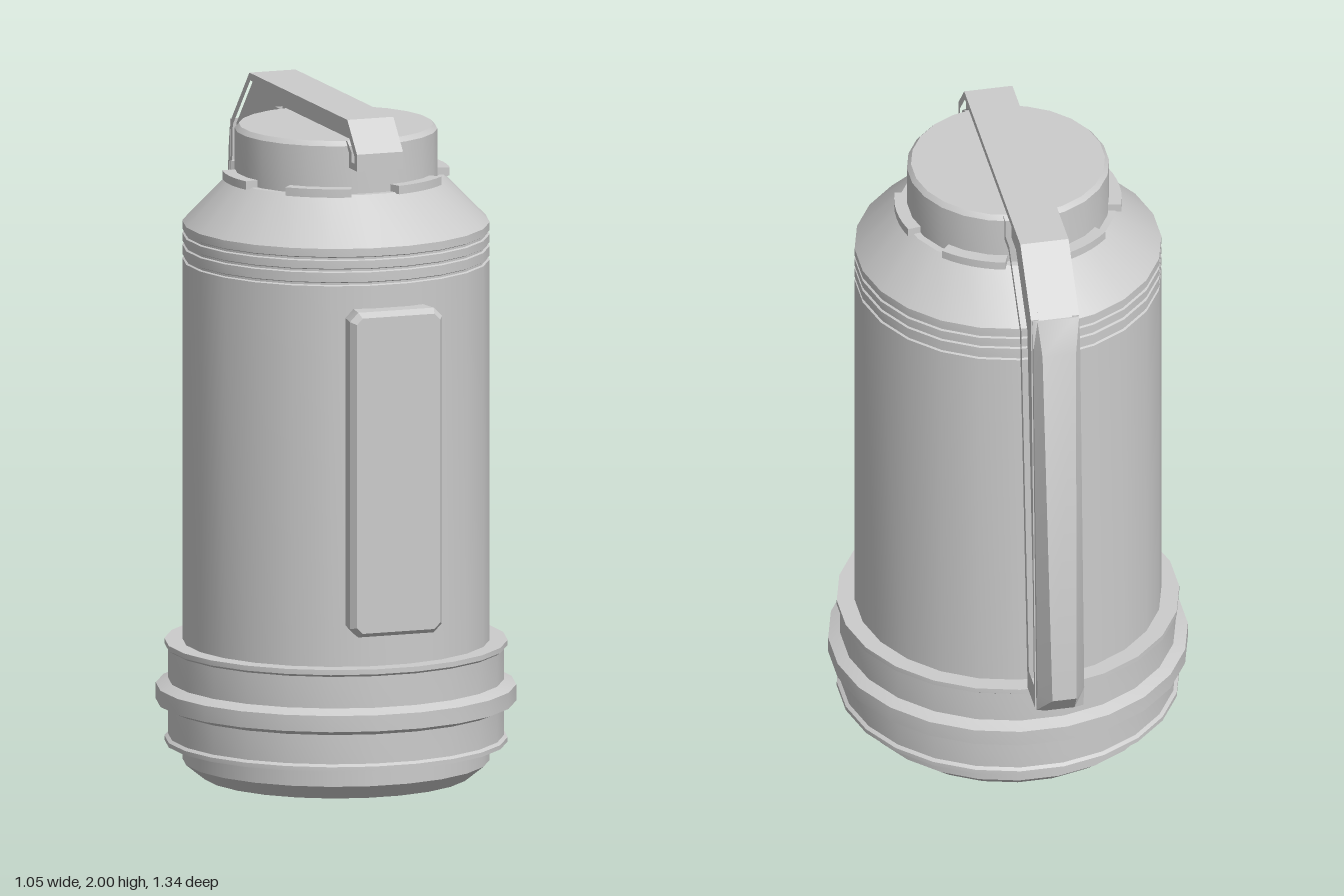
import * as THREE from 'three';
import { toCreasedNormals } from 'three/addons/utils/BufferGeometryUtils.js';

const AXIS_Z = 0.146; // the body stands forward of the handle
const SIDES = 24;
const material = new THREE.MeshStandardMaterial({ color: 0xcccccc });

function part(name, geometry, parent) {
  const mesh = new THREE.Mesh(toCreasedNormals(geometry, 0.45), material);
  mesh.name = name;
  parent.add(mesh);
}

// Turned solid; radii are measured to the flats of the polygon
function turned(points) {
  const k = 1 / Math.cos(Math.PI / SIDES);
  const profile = points.map(([r, y]) => new THREE.Vector2(r * k, y));
  return new THREE.LatheGeometry(profile, SIDES, Math.PI / SIDES);
}

const toPoints = (list) => list.map(([a, b]) => new THREE.Vector2(a, b));

// Side outline given as (z, y), extruded symmetrically along x
function sideExtrude(outline, halfWidth, hole) {
  const shape = new THREE.Shape(toPoints(outline));
  if (hole) shape.holes.push(new THREE.Path(toPoints(hole)));
  const geo = new THREE.ExtrudeGeometry(shape, { depth: halfWidth * 2, bevelEnabled: false });
  return geo.translate(0, 0, -halfWidth).rotateY(-Math.PI / 2);
}

// Closed solid through equal-sized loops, listed top to bottom, counter-clockwise from above
function loft(loops) {
  const n = loops[0].length;
  const index = [];
  for (let s = 0; s < loops.length - 1; s++) {
    for (let i = 0; i < n; i++) {
      const a = s * n + i, b = s * n + (i + 1) % n;
      index.push(a, a + n, b, b, a + n, b + n);
    }
  }
  const last = (loops.length - 1) * n;
  for (let i = 1; i < n - 1; i++) {
    index.push(0, i, i + 1, last, last + i + 1, last + i);
  }
  const geo = new THREE.BufferGeometry();
  geo.setAttribute('position', new THREE.Float32BufferAttribute(loops.flat(2), 3));
  geo.setIndex(index);
  return geo;
}

export function createModel() {
  const model = new THREE.Group();
  model.name = 'canister';

  const body = new THREE.Group();
  body.name = 'body';
  body.position.z = AXIS_Z;
  model.add(body);

  // Main shell with fine grooves below the sloped shoulder
  const grooves = [1.54, 1.58, 1.615].flatMap((y) => [
    [0.446, y - 0.006], [0.44, y - 0.003], [0.44, y + 0.003], [0.446, y + 0.006],
  ]);
  part('shell', turned([
    [0, 0], [0.39, 0], [0.446, 0.045], ...grooves,
    [0.446, 1.645], [0.315, 1.78], [0.28, 1.78],
  ]), body);

  // Collar round the base with lips and a bulging middle band
  part('baseCollar', turned([
    [0.43, 0.1], [0.498, 0.1], [0.498, 0.113], [0.488, 0.12], [0.488, 0.207],
    [0.523, 0.222], [0.523, 0.27], [0.488, 0.286], [0.488, 0.38],
    [0.498, 0.387], [0.498, 0.402], [0.43, 0.402],
  ]), body);

  // Cap
  part('cap', turned([[0.294, 1.76], [0.294, 1.922], [0.282, 1.936], [0, 1.936]]), body);

  // Six locking lugs around the neck, with slanted ends
  const inner = THREE.MathUtils.degToRad(18.5);
  const outer = THREE.MathUtils.degToRad(17);
  const lugShape = new THREE.Shape();
  lugShape.absarc(0, 0, 0.333, -outer, outer, false);
  lugShape.absarc(0, 0, 0.28, inner, -inner, true);
  for (let i = 0; i < 6; i++) {
    const geo = new THREE.ExtrudeGeometry(lugShape, { depth: 0.025, bevelEnabled: false, curveSegments: 3 });
    geo.rotateX(-Math.PI / 2).translate(0, 1.776, 0).rotateY(i * Math.PI / 3);
    part('neckLug', geo, body);
  }

  // Front plate with clipped corners and a bevelled face, narrowing towards the body
  const bevel = 0.014, front = 0.664, clip = 0.018;
  const w = 0.144 - bevel, low = 0.5 + bevel, high = 1.466 - bevel;
  const plate = new THREE.Shape(toPoints([
    [clip - w, low], [w - clip, low], [w, low + clip], [w, high - clip],
    [w - clip, high], [clip - w, high], [-w, high - clip], [-w, low + clip],
  ]));
  const plateGeo = new THREE.ExtrudeGeometry(plate, {
    depth: 0.12, bevelThickness: 0.022, bevelSize: bevel, bevelSegments: 1,
  });
  plateGeo.translate(0, 0, front - 0.142);
  const pos = plateGeo.attributes.position;
  for (let i = 0; i < pos.count; i++) {
    if (pos.getZ(i) < 0.6) pos.setX(i, pos.getX(i) * 0.86);
  }
  part('frontPlate', plateGeo, model);

  // Lever handle: a web with a raised rim along its outline
  const handle = new THREE.Group();
  handle.name = 'handle';
  model.add(handle);
  const strapAndFront = [
    [-0.38, 2], [0.43, 2], [0.51, 1.91], [0.51, 1.86], [0.443, 1.86], [0.443, 1.905], [0.42, 1.93],
    [-0.148, 1.93], [-0.148, 1.865], [-0.21, 1.865], [-0.375, 1.69], [-0.485, 0.5],
  ];
  const webOutline = [...strapAndFront, [-0.605, 0.5], [-0.545, 1.82]];
  const rimOutline = [...strapAndFront, [-0.594, 0.5], [-0.533, 1.833]];
  const recess = [
    [0.42, 1.978], [0.49, 1.9], [0.49, 1.88], [0.463, 1.88], [0.463, 1.91], [0.43, 1.936],
    [-0.165, 1.936], [-0.165, 1.885], [-0.22, 1.885], [-0.395, 1.7],
    [-0.503, 0.57], [-0.576, 0.57], [-0.517, 1.822], [-0.372, 1.978],
  ];
  part('handleWeb', sideExtrude(webOutline, 0.05), handle);
  part('handleRim', sideExtrude(rimOutline, 0.072, recess), handle);

  // Tapered cover on the back of the grip: y, front z, back z, back half width
  const sections = [
    [1.835, -0.542, -0.547, 0.055],
    [1.74, -0.546, -0.595, 0.05],
    [0.57, -0.599, -0.67, 0.036],
    [0.5, -0.602, -0.612, 0.042],
  ];
  part('gripCover', loft(sections.map(([y, zFront, zBack, half]) => {
    const zMid = zFront + (zBack - zFront) * 0.25;
    return [
      [-0.07, y, zFront], [0.07, y, zFront], [0.07, y, zMid],
      [half, y, zBack], [-half, y, zBack], [-0.07, y, zMid],
    ];
  })), handle);

  return model;
}
